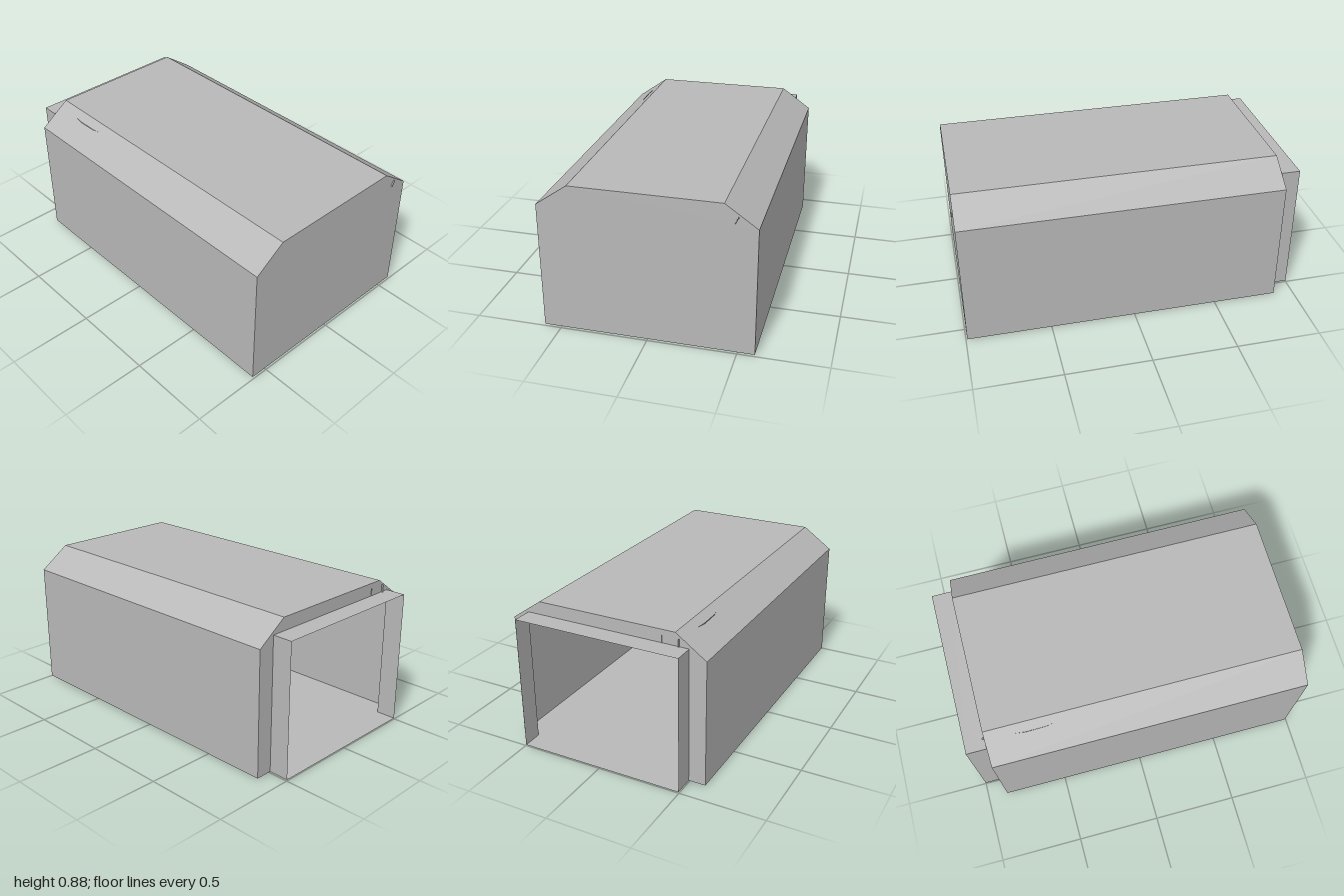
import * as THREE from 'three';

const grey = new THREE.MeshStandardMaterial({ color: 0xb8b8b8, side: THREE.DoubleSide });
grey.name = 'hull grey';

function add(group, name, geometry, x = 0, y = 0, z = 0) {
  const mesh = new THREE.Mesh(geometry, grey);
  mesh.name = name;
  mesh.position.set(x, y, z);
  group.add(mesh);
  return mesh;
}

// Thin skin joining matching points of successive sections
function skin(sections, closed) {
  const pos = [];
  for (let s = 0; s < sections.length - 1; s++) {
    const a = sections[s], b = sections[s + 1];
    const n = closed ? a.length : a.length - 1;
    for (let i = 0; i < n; i++) {
      const j = (i + 1) % a.length;
      for (const p of [a[i], a[j], b[j], a[i], b[j], b[i]]) pos.push(...p);
    }
  }
  const g = new THREE.BufferGeometry();
  g.setAttribute('position', new THREE.Float32BufferAttribute(pos, 3));
  g.computeVertexNormals();
  return g;
}

// Straight sleeve following an outline between two depths
const sleeve = (outline, z0, z1) =>
  skin([z0, z1].map(z => outline.map(([x, y]) => [x, y, z])), true);

const toShape = outline => new THREE.Shape(outline.map(([x, y]) => new THREE.Vector2(x, y)));

export function createModel() {
  const model = new THREE.Group();
  model.name = 'compartment';

  const W = 0.597, FRONT = 0.992, BACK = -0.88, BASE = 0.006;
  const DW = 0.497, DOOR_TOP = 0.8;
  // counter-clockwise outlines seen from the front
  const hull = [[-W, BASE], [W, BASE], [W, 0.75], [0.418, 0.876], [-0.418, 0.876], [-W, 0.75]];
  const door = [[-DW, BASE], [DW, BASE], [DW, DOOR_TOP], [-DW, DOOR_TOP]];

  // Hull shell
  add(model, 'hullShell', sleeve(hull, FRONT, BACK));
  add(model, 'frontWall', new THREE.ShapeGeometry(toShape(hull)), 0, 0, FRONT);

  // Rear wall around the doorway, open down to the floor
  const rear = [[W, BASE], [W, 0.75], [0.418, 0.876], [-0.418, 0.876], [-W, 0.75], [-W, BASE],
    [-DW, BASE], [-DW, DOOR_TOP], [DW, DOOR_TOP], [DW, BASE]];
  const rearGeo = new THREE.ShapeGeometry(toShape(rear));
  rearGeo.rotateY(Math.PI);
  add(model, 'rearWall', rearGeo, 0, 0, BACK);

  // Projecting doorway
  add(model, 'doorway', sleeve(door, BACK, -1));

  // Ceiling boxes in two rows
  for (const z of [-0.58, -0.08, 0.42])
    for (const x of [-0.2, 0.2])
      add(model, 'ceilingBox', new THREE.BoxGeometry(0.26, 0.09, 0.3), x, 0.829, z);

  // Curved open tray running under the ceiling
  const path = new THREE.CatmullRomCurve3([[-0.39, -0.888], [-0.42, -0.55], [-0.35, -0.33], [-0.1, -0.25],
    [0.15, -0.2], [0.34, 0.0], [0.4, 0.4], [0.41, 0.9]]
    .map(([x, z]) => new THREE.Vector3(x, 0.8, z)));
  const sections = [];
  for (let i = 0; i <= 20; i++) {
    const p = path.getPoint(i / 20), t = path.getTangent(i / 20);
    sections.push([[-0.05, 0.045], [-0.05, 0], [0.05, 0], [0.05, 0.045]]
      .map(([o, h]) => [p.x + t.z * o, p.y + h, p.z - t.x * o]));
  }
  add(model, 'ceilingTray', skin(sections, false));

  // Small plates under the floor and on the front
  add(model, 'floorPlate', new THREE.BoxGeometry(0.08, 0.006, 0.08), 0.5, 0.003, 0.9);
  const tab = add(model, 'frontTab', new THREE.BoxGeometry(0.005, 0.04, 0.008), 0.485, 0.79, 0.996);
  tab.rotation.z = -0.45;

  return model;
}
